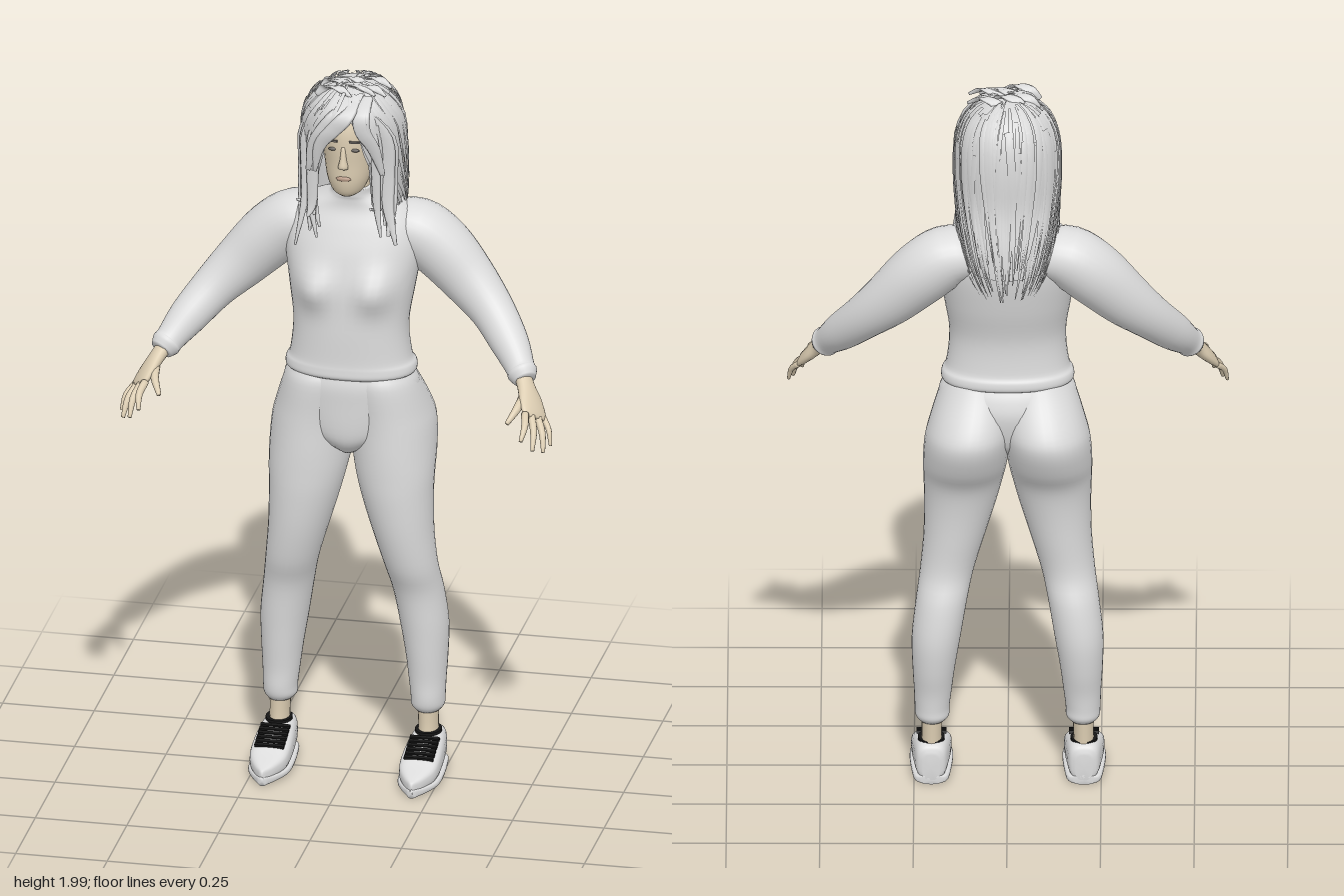
import * as THREE from 'three';

const V3 = (x, y, z) => new THREE.Vector3(x, y, z);
const mat = (name, color, side = THREE.FrontSide) => {
  const m = new THREE.MeshStandardMaterial({ color, side });
  m.name = name;
  return m;
};

// Surface from closed rings [x, y, z, radiusU, radiusV]; rings follow the path, or a fixed axis.
function loft(rings, { ref = V3(1, 0, 0), axis = null, sides = 28, steps = 4, power = 1, deform = null } = {}) {
  const centre = new THREE.CatmullRomCurve3(rings.map(r => V3(r[0], r[1], r[2])), false, 'catmullrom', 0.5);
  const radius = new THREE.CatmullRomCurve3(rings.map(r => V3(r[3], r[4], 0)), false, 'catmullrom', 0.5);
  const n = (rings.length - 1) * steps, pos = [], idx = [];
  const pw = v => Math.sign(v) * Math.abs(v) ** power;
  for (let i = 0; i <= n; i++) {
    const c = centre.getPoint(i / n), r = radius.getPoint(i / n);
    const T = axis || centre.getTangent(i / n);
    const U = ref.clone().addScaledVector(T, -ref.dot(T)).normalize();
    const W = T.clone().cross(U);
    for (let j = 0; j < sides; j++) {
      const a = j / sides * Math.PI * 2;
      const p = c.clone().addScaledVector(U, pw(Math.cos(a)) * r.x).addScaledVector(W, pw(Math.sin(a)) * r.y);
      if (deform) deform(p);
      pos.push(p.x, p.y, p.z);
      if (i < n) {
        const k = i * sides, q = (j + 1) % sides;
        idx.push(k + j, k + q, k + sides + q, k + j, k + sides + q, k + sides + j);
      }
    }
  }
  // end caps
  const first = pos.length / 3, a = rings[0], b = rings[rings.length - 1];
  pos.push(a[0], a[1], a[2], b[0], b[1], b[2]);
  for (let j = 0; j < sides; j++) {
    const q = (j + 1) % sides, k = n * sides;
    idx.push(first, q, j, first + 1, k + j, k + q);
  }
  return finish(pos, idx);
}

function finish(pos, idx) {
  const g = new THREE.BufferGeometry();
  g.setAttribute('position', new THREE.Float32BufferAttribute(pos, 3));
  g.setIndex(idx);
  g.computeVertexNormals();
  return g;
}

export function createModel() {
  const model = new THREE.Group();
  const cloth = mat('cloth', 0xdcdcdc), skin = mat('skin', 0xdccdb2), lace = mat('laces', 0x151515);
  const hairMat = mat('hair', 0xd8d8d8, THREE.DoubleSide), lipMat = mat('lips', 0xb89a86), eyeMat = mat('eyes', 0x6e6a66);
  const add = (name, geo, m) => {
    const mesh = new THREE.Mesh(geo, m);
    mesh.name = name;
    model.add(mesh);
    return mesh;
  };
  const UP = V3(0, 1, 0), FRONT = V3(0, 0, 1);
  // horizontal rings given as y, inner x, outer x, front z, back z
  const spans = (rows, s = 1) => rows.map(([y, xi, xo, zf, zb]) =>
    [s * (xi + xo) / 2, y, (zf + zb) / 2, (xo - xi) / 2, (zf - zb) / 2]);
  const even = rows => spans(rows.map(([y, x, zf, zb]) => [y, -x, x, zf, zb]));

  // Sweater body with rolled hem and high collar
  add('sweaterBody', loft(even([
    [1.155, 0.165, 0.068, -0.132], [1.165, 0.177, 0.08, -0.145], [1.185, 0.176, 0.08, -0.145], [1.21, 0.164, 0.078, -0.136],
    [1.30, 0.156, 0.078, -0.136], [1.40, 0.17, 0.072, -0.162], [1.50, 0.185, 0.055, -0.182], [1.57, 0.18, 0.03, -0.182],
    [1.62, 0.145, 0.008, -0.165], [1.65, 0.085, 0.005, -0.135], [1.665, 0.06, 0.008, -0.115], [1.685, 0.056, 0.01, -0.112]]),
  { axis: UP, sides: 48, steps: 5, power: 0.9, deform: p => {
    if (p.z > 0) p.z += 0.036 * Math.exp(-(((Math.abs(p.x) - 0.085) / 0.05) ** 2) - ((p.y - 1.415) / 0.055) ** 2);
  } }), cloth);

  // Trousers: a pelvis joining two shaped legs
  add('trouserPelvis', loft(even([
    [0.93, 0.025, 0.03, -0.06], [0.96, 0.08, 0.058, -0.10], [1.0, 0.14, 0.07, -0.14], [1.08, 0.18, 0.074, -0.16],
    [1.13, 0.184, 0.075, -0.152], [1.165, 0.17, 0.068, -0.135]]), { axis: UP, sides: 40 }), cloth);
  const legRows = [
    [0.17, 0.168, 0.235, -0.028, -0.108], [0.185, 0.156, 0.246, -0.018, -0.12], [0.21, 0.155, 0.248, -0.014, -0.121],
    [0.26, 0.149, 0.25, -0.014, -0.126], [0.33, 0.14, 0.254, -0.008, -0.14], [0.42, 0.125, 0.256, 0, -0.148],
    [0.52, 0.108, 0.245, 0.012, -0.136], [0.60, 0.09, 0.234, 0.04, -0.113], [0.70, 0.06, 0.225, 0.06, -0.117],
    [0.80, 0.03, 0.223, 0.07, -0.128], [0.87, 0.012, 0.225, 0.072, -0.146], [0.93, 0, 0.226, 0.072, -0.185],
    [1.0, -0.008, 0.222, 0.07, -0.214], [1.05, -0.01, 0.21, 0.07, -0.206], [1.13, -0.01, 0.183, 0.072, -0.152],
    [1.165, 0, 0.165, 0.06, -0.13]];

  for (const s of [1, -1]) {
    const side = s > 0 ? 'left' : 'right';
    const mx = rows => rows.map(([x, ...r]) => [x * s, ...r]);
    add(side + 'TrouserLeg', loft(spans(legRows, s), { axis: UP, sides: 32 }), cloth);
    add(side + 'Ankle', loft(mx([[0.203, 0.06, -0.06, 0.032, 0.045], [0.203, 0.12, -0.066, 0.027, 0.038],
      [0.201, 0.22, -0.068, 0.03, 0.04]]), { axis: UP, sides: 20 }), skin);

    // Sleeve and cuff
    add(side + 'Sleeve', loft(mx([
      [0.09, 1.55, -0.09, 0.08, 0.06], [0.16, 1.545, -0.10, 0.09, 0.082], [0.23, 1.495, -0.10, 0.086, 0.086],
      [0.31, 1.415, -0.085, 0.07, 0.075], [0.38, 1.345, -0.052, 0.058, 0.061], [0.44, 1.277, 0.003, 0.05, 0.052],
      [0.478, 1.229, 0.05, 0.038, 0.04], [0.487, 1.218, 0.062, 0.04, 0.041], [0.498, 1.204, 0.077, 0.028, 0.03]]),
    { ref: FRONT, sides: 28 }), cloth);

    // Hand
    const across = V3(0.04 * s, -0.03, -0.055).normalize();
    add(side + 'Palm', loft(mx([
      [0.485, 1.22, 0.06, 0.025, 0.022], [0.502, 1.195, 0.09, 0.028, 0.02], [0.52, 1.168, 0.117, 0.04, 0.018],
      [0.536, 1.142, 0.147, 0.044, 0.014], [0.542, 1.13, 0.16, 0.036, 0.009]]), { ref: across, sides: 20 }), skin);
    const tips = [[0.522, 1.10, 0.25], [0.55, 1.068, 0.232], [0.574, 1.055, 0.205], [0.586, 1.06, 0.168]];
    const finger = (name, k, t, r) => {
      const mid = k.map((v, i) => (v + t[i]) / 2 + [0.006, 0.006, 0.004][i]);
      add(side + name, loft(mx([[...k, r, r], [...mid, r * 0.9, r * 0.9], [...t, r * 0.5, r * 0.5]]),
        { ref: across, sides: 10 }), skin);
    };
    tips.forEach((t, i) => finger('Finger' + (i + 1),
      [0.519 + 0.013 * i, 1.152 - 0.01 * i, 0.18 - 0.018 * i], t, 0.0105 - (i === 3 ? 0.002 : 0)));
    finger('Thumb', [0.502, 1.176, 0.122], [0.475, 1.13, 0.207], 0.0125);

    // Pointed shoe: z, half width, top height
    const shoeRows = [[-0.121, 0.022, 0.085], [-0.108, 0.04, 0.11], [-0.06, 0.048, 0.114], [0, 0.053, 0.1],
      [0.05, 0.054, 0.083], [0.09, 0.048, 0.066], [0.13, 0.028, 0.053], [0.16, 0.006, 0.043]];
    const shoe = (grow, low, high) => loft(shoeRows.map(([z, w, t]) => {
      const top = high || t;
      return [0.204 * s, (top + low) / 2, z, w + grow, (top - low) / 2];
    }), { axis: FRONT, sides: 28, power: 0.65 });
    add(side + 'ShoeUpper', shoe(0, 0.012, 0), cloth);
    add(side + 'ShoeSole', shoe(0.004, 0, 0.026), cloth);
    for (let i = 0; i < 6; i++) {
      const z = -0.012 + i * 0.0155;
      const bar = add(side + 'Lace' + (i + 1), new THREE.BoxGeometry(0.08, 0.009, 0.0095), lace);
      bar.position.set(0.204 * s, 0.1 - z * 0.34, z);
      bar.rotation.x = 0.33;
    }
    const opening = add(side + 'ShoeOpening', new THREE.CylinderGeometry(0.036, 0.036, 0.008, 20), lace);
    opening.scale.z = 1.2;
    opening.position.set(0.204 * s, 0.111, -0.06);

    // Eye and brow
    const eye = add(side + 'Eye', new THREE.SphereGeometry(1, 14, 8), eyeMat);
    eye.scale.set(0.013, 0.005, 0.004);
    eye.position.set(0.03 * s, 1.826, 0.069);
    const brow = add(side + 'Brow', new THREE.BoxGeometry(0.032, 0.005, 0.006), eyeMat);
    brow.position.set(0.031 * s, 1.85, 0.071);
    brow.rotation.set(0, 0.35 * s, -0.1 * s);
  }

  // Head, nose and lips
  add('neck', new THREE.CylinderGeometry(0.046, 0.05, 0.12, 24), skin).position.set(0, 1.69, -0.045);
  add('head', loft([[1.68, 0.015, 0.022, 0.03], [1.695, 0.01, 0.042, 0.052], [1.73, 0, 0.058, 0.072],
    [1.78, -0.02, 0.069, 0.094], [1.83, -0.03, 0.075, 0.107], [1.88, -0.035, 0.075, 0.108], [1.93, -0.04, 0.06, 0.09],
    [1.955, -0.04, 0.02, 0.03]].map(([y, z, a, b]) => [0, y, z, a, b]), { axis: UP, sides: 32 }), skin);
  add('nose', loft([[0, 1.77, 0.07, 0.011, 0.008], [0, 1.778, 0.077, 0.014, 0.014], [0, 1.80, 0.076, 0.009, 0.011],
    [0, 1.835, 0.072, 0.006, 0.006]], { axis: UP, sides: 14 }), skin);
  const lips = add('lips', new THREE.SphereGeometry(1, 16, 8), lipMat);
  lips.scale.set(0.021, 0.007, 0.006);
  lips.position.set(0, 1.742, 0.072);

  // Hair shell: y, centre z, radius x, radius z, half angle left open for the face
  const shell = [[1.98, -0.045, 0.01, 0.01, 0], [1.97, -0.045, 0.062, 0.075, 0], [1.935, -0.045, 0.102, 0.122, 0.1],
    [1.88, -0.05, 0.125, 0.14, 0.32], [1.8, -0.06, 0.13, 0.137, 0.46], [1.7, -0.075, 0.127, 0.122, 0.75],
    [1.6, -0.105, 0.12, 0.115, 1.15], [1.52, -0.14, 0.1, 0.09, 1.35], [1.45, -0.175, 0.065, 0.05, 1.45]];
  const shape = new THREE.CatmullRomCurve3(shell.map(r => V3(r[0], r[1], r[4])), false, 'catmullrom', 0.5);
  const size = new THREE.CatmullRomCurve3(shell.map(r => V3(r[2], r[3], 0)), false, 'catmullrom', 0.5);
  const onHair = (f, t, grow = 1) => {
    const c = shape.getPoint(t), r = size.getPoint(t), gap = Math.max(c.z, 0);
    const a = gap + f * (Math.PI * 2 - 2 * gap);
    return V3(Math.sin(a) * r.x * grow, c.x + (grow - 1) * 0.1, c.y + Math.cos(a) * r.y * grow);
  };
  const sheet = (nu, nv, point) => {
    const pos = [], idx = [];
    for (let i = 0; i <= nv; i++) for (let j = 0; j <= nu; j++) {
      pos.push(...point(j / nu, i / nv).toArray());
      const k = i * (nu + 1) + j;
      if (i < nv && j < nu) idx.push(k, k + nu + 1, k + 1, k + 1, k + nu + 1, k + nu + 2);
    }
    return finish(pos, idx);
  };
  add('hairShell', sheet(56, 32, (u, v) => onHair(u, v * 0.86)), hairMat);

  let seed = 7;
  const rnd = (a, b) => {
    seed = (seed * 16807) % 2147483647;
    return a + (b - a) * seed / 2147483647;
  };
  // Layered strands lying on the shell with ragged ends
  for (let i = 0; i < 120; i++) {
    const f = rnd(0.01, 0.99), t0 = rnd(0.02, 0.45), t1 = rnd(0.78, 1), w = rnd(0.008, 0.02);
    const drift = rnd(-0.04, 0.04), lift = rnd(1.02, 1.09);
    add('hairStrand', sheet(2, 14, (u, v) => onHair(
      Math.min(1, Math.max(0, f + drift * v + (u - 0.5) * 2 * w * (1 - 0.75 * v * v))),
      t0 + (t1 - t0) * v, lift + 0.07 * v + (u === 0.5 ? 0.015 : 0))), hairMat);
  }
  // Loose locks beside the face, and a fringe swept to both sides
  const lock = (name, pts, w) => add(name, loft(pts.map((p, i) =>
    [...p, w * [0.6, 1, 1, 0.8, 0.25][i], 0.004]), { sides: 8 }), hairMat);
  for (const s of [1, -1]) for (let i = 0; i < 9; i++) {
    const x = rnd(0, 0.045), z = rnd(-0.03, 0.01), end = rnd(1.53, 1.66), out = rnd(-0.02, 0.025);
    lock('faceLock', [[0.05 * s, 1.94, 0.05 + z], [(0.078 + x) * s, 1.86, 0.065 + z - x * 0.6], [(0.083 + x) * s, 1.76, 0.06 + z - x * 0.6],
      [(0.085 + x) * s, 1.66, 0.055 + z - x * 0.3], [(0.085 + x + out) * s, end, 0.06 + z]], rnd(0.012, 0.02));
  }
  for (let i = 0; i < 8; i++) {
    const k = i / 7, s = i < 6 ? -1 : 1, d = rnd(0, 0.008);
    lock('fringe', [[0.03 - 0.06 * k * -s * 0.5, 1.968, 0.03], [0.015 + s * 0.04 * k, 1.935, 0.085 + d],
      [s * (0.025 + 0.035 * k), 1.89, 0.092 + d], [s * (0.062 + 0.025 * k), 1.84, 0.083 + d],
      [s * (0.078 + 0.03 * k), 1.76, 0.065 + d]], 0.02);
  }
  // Small wisps standing on the crown
  for (let i = 0; i < 8; i++) {
    const x = rnd(-0.06, 0.05), z = rnd(-0.09, 0.02);
    lock('crownWisp', [[x - 0.04, 1.955, z], [x - 0.02, 1.975, z], [x, 1.984, z + 0.01], [x + 0.03, 1.984, z + 0.02],
      [x + 0.06, 1.968, z + 0.03]], 0.014);
  }
  return model;
}
